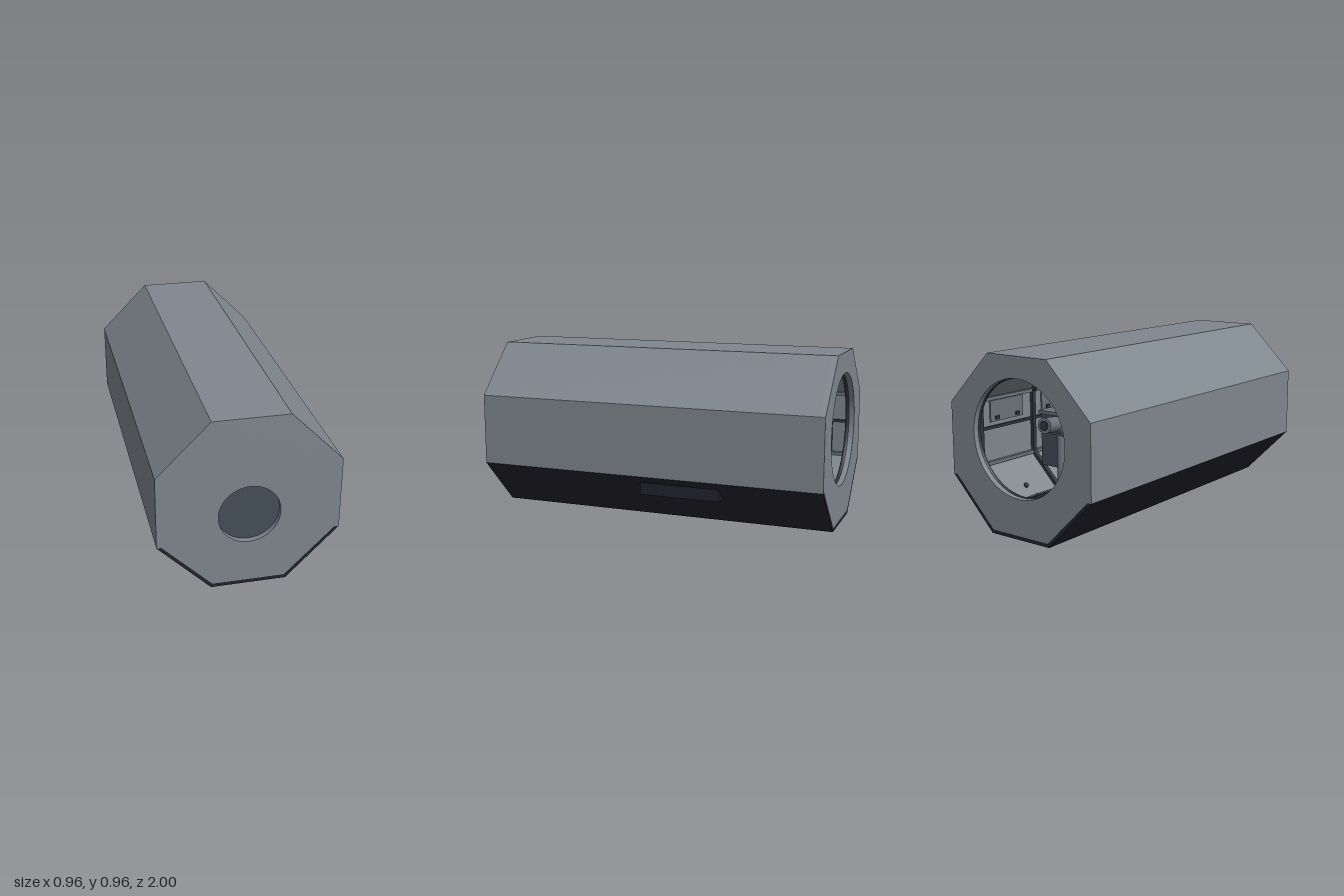
import * as THREE from 'three';

const mat = (name, color) => new THREE.MeshStandardMaterial({ name, color });

export function createModel() {
  const hull = mat('hull grey', 0x7f878e);
  const belly = mat('belly black', 0x22222d);
  const glass = mat('window slate', 0x454e59);
  const trim = mat('dark trim', 0x30353b);
  const deck = mat('deck blue grey', 0x3b444f);
  const steel = mat('steel', 0x697178);
  const root = new THREE.Group();

  const add = (name, geo, material, x = 0, y = 0, z = 0, parent = root) => {
    const mesh = new THREE.Mesh(geo, material);
    mesh.name = name;
    mesh.position.set(x, y, z);
    parent.add(mesh);
    return mesh;
  };
  const box = (name, w, h, d, m, x, y, z, parent) =>
    add(name, new THREE.BoxGeometry(w, h, d), m, x, y, z, parent);
  const outline = pts => pts.map(p => new THREE.Vector2(p[0], p[1]));
  // Mirror the right half of a profile (bottom to top) into a closed outline
  const mirrored = half => outline([...half, ...[...half].reverse().map(p => [-p[0], p[1]])]);
  const extrude = (shape, depth, curveSegments = 48) =>
    new THREE.ExtrudeGeometry(shape, { depth, bevelEnabled: false, curveSegments });
  // Inner octagon, inset by t from the hull
  const inset = t => mirrored([
    [0.2 - t * 0.41, t], [0.48 - t, 0.283 + t * 0.41],
    [0.48 - t, 0.683 - t * 0.41], [0.2 - t * 0.41, 0.965 - t]]);
  const ring = (outer, inner) => {
    const s = new THREE.Shape(outer);
    s.holes.push(new THREE.Path(inner));
    return s;
  };
  const skin = mirrored([[0.192, 0.02], [0.455, 0.283], [0.48, 0.283], [0.48, 0.683], [0.2, 0.965]]);

  // Octagonal tube and the dark shell wrapped under it
  add('hullTube', extrude(ring(skin, inset(0.04)), 1.94), hull, 0, 0, -0.97);
  add('bellyShell', extrude(new THREE.Shape(outline([
    [-0.48, 0.283], [-0.2, 0], [0.2, 0], [0.48, 0.283],
    [0.455, 0.283], [0.192, 0.02], [-0.192, 0.02], [-0.455, 0.283]])), 2), belly, 0, 0, -1);

  // End walls with round openings
  const endWall = (name, cy, r, z) => {
    const s = new THREE.Shape(skin);
    s.holes.push(new THREE.Path().absarc(0, cy, r, 0, Math.PI * 2, true));
    add(name, extrude(s, 0.03), hull, 0, 0, z);
  };
  endWall('frontWall', 0.42, 0.163, 0.97);
  endWall('backWall', 0.535, 0.315, -1);
  add('frontWindow', new THREE.CylinderGeometry(0.175, 0.175, 0.01, 64), glass, 0, 0.42, 0.965)
    .rotation.x = Math.PI / 2;
  add('hatchSeal', new THREE.TorusGeometry(0.322, 0.012, 10, 64), trim, 0, 0.535, -0.96);

  // Wedge-shaped housing on the lower right flank
  add('flankHousing', extrude(new THREE.Shape(outline([
    [0.36, 0.172], [0.438, 0.172], [0.438, 0.245], [0.43, 0.245]])), 0.46), belly, 0, 0, -0.42);

  // Octagonal frames inside the tube
  for (let i = 0; i < 5; i++) {
    add('frame', extrude(ring(inset(0.038), inset(0.06)), 0.025), trim, 0, 0, -0.85 + i * 0.42);
  }
  // Stringers along the inner corners
  for (const s of [-1, 1]) {
    for (const [x, y] of [[0.43, 0.3], [0.43, 0.665], [0.18, 0.915]]) {
      box('stringer', 0.02, 0.02, 1.92, steel, s * x, y, 0);
    }
    box('wallRail', 0.016, 0.016, 1.92, trim, s * 0.434, 0.5, 0);
  }

  // Deck with rails and cross seams
  box('deck', 0.52, 0.02, 1.92, deck, 0, 0.1, 0);
  for (const x of [-0.2, -0.07, 0.07, 0.2]) box('deckRail', 0.016, 0.012, 1.92, trim, x, 0.116, 0);
  for (let i = 0; i < 9; i++) box('deckSeam', 0.5, 0.006, 0.01, steel, 0, 0.112, -0.8 + i * 0.2);

  // Wall plates and round fittings between the frames
  for (const s of [-1, 1]) {
    for (let i = 0; i < 4; i++) {
      const z = -0.63 + i * 0.42;
      box('wallPlate', 0.008, 0.12, 0.26, steel, s * 0.436, 0.59, z);
      for (const dz of [-0.08, 0.08]) box('latch', 0.012, 0.02, 0.03, trim, s * 0.43, 0.55, z + dz);
      add('fitting', new THREE.CylinderGeometry(0.014, 0.014, 0.02, 16), trim, s * 0.3, 0.16, z)
        .rotation.z = s * Math.PI / 4;
    }
  }

  // Jointed arm standing behind the hatch
  const arm = new THREE.Group();
  arm.name = 'jointedArm';
  root.add(arm);
  const tube = (name, a, b, r, m) => {
    const from = new THREE.Vector3(...a), to = new THREE.Vector3(...b);
    const mesh = add(name, new THREE.CylinderGeometry(r, r, from.distanceTo(to), 24), m, 0, 0, 0, arm);
    mesh.position.copy(from).lerp(to, 0.5);
    mesh.quaternion.setFromUnitVectors(new THREE.Vector3(0, 1, 0), to.sub(from).normalize());
  };
  tube('armFoot', [0.06, 0.11, -0.6], [0.06, 0.135, -0.6], 0.07, steel);
  tube('armCollar', [0.06, 0.135, -0.6], [0.06, 0.18, -0.6], 0.038, trim);
  tube('armPost', [0.06, 0.18, -0.6], [0.06, 0.5, -0.6], 0.022, steel);
  tube('armElbow', [0.01, 0.51, -0.6], [0.11, 0.51, -0.6], 0.035, steel);
  tube('armReach', [0.05, 0.51, -0.6], [-0.01, 0.57, -0.76], 0.025, steel);
  tube('armHead', [-0.01, 0.57, -0.72], [-0.02, 0.58, -0.82], 0.042, steel);
  tube('armLens', [-0.02, 0.58, -0.82], [-0.02, 0.581, -0.828], 0.026, trim);

  // Equipment cabinet beside the arm
  box('cabinet', 0.14, 0.3, 0.2, glass, 0.24, 0.4, -0.38);
  box('cabinetTop', 0.16, 0.02, 0.22, steel, 0.24, 0.56, -0.38);
  box('cabinetLeg', 0.05, 0.16, 0.08, trim, 0.22, 0.18, -0.38);

  return root;
}
